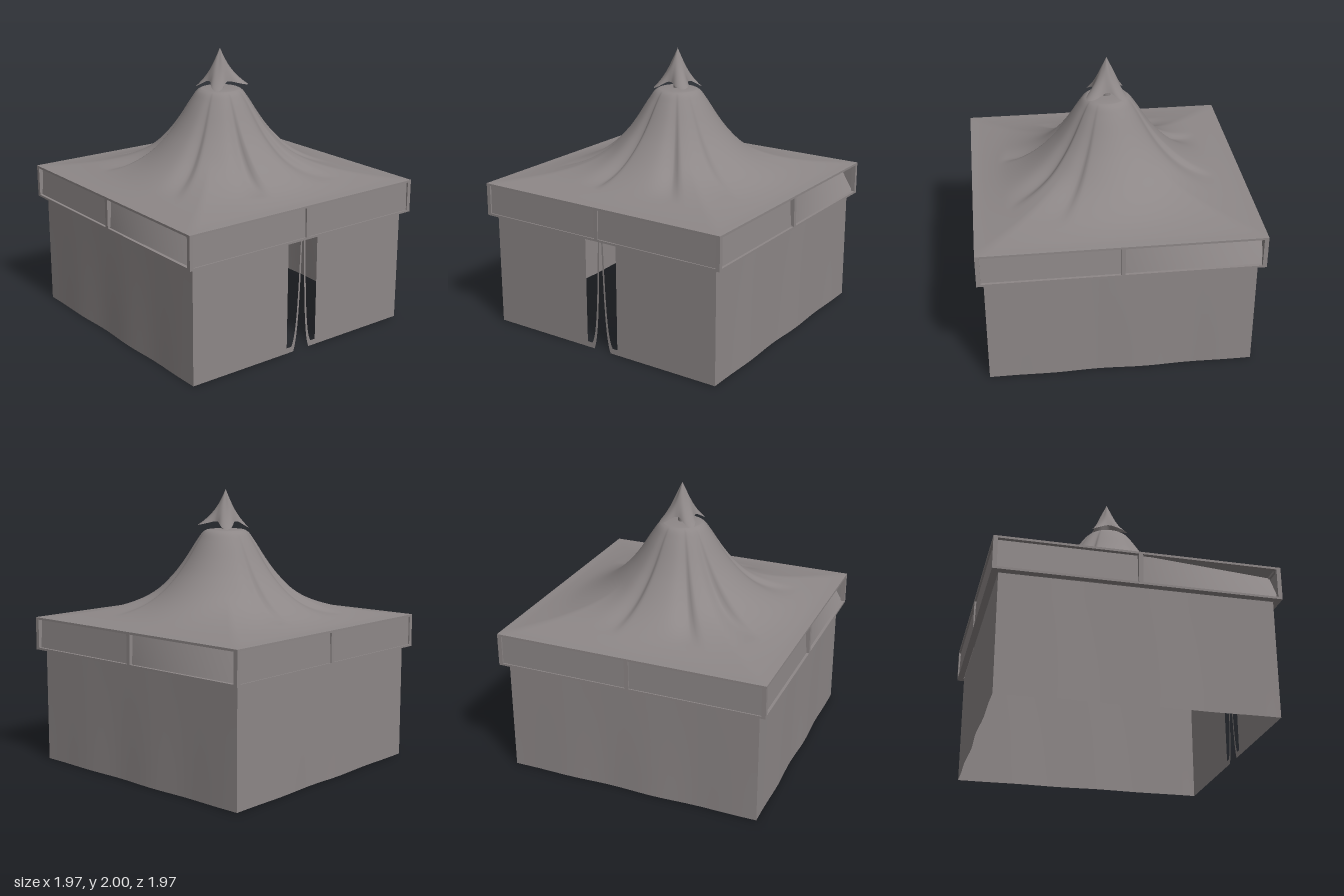
import * as THREE from 'three';

const canvas = new THREE.MeshStandardMaterial({ color: 0x8d8787, side: THREE.DoubleSide });
canvas.name = 'greyCanvas';

const WALL_TOP = 0.83, EAVE = 1.07, HALF = 0.985;

function addMesh(parent, name, geometry, x = 0, y = 0, z = 0) {
  const mesh = new THREE.Mesh(geometry, canvas);
  mesh.name = name;
  mesh.position.set(x, y, z);
  parent.add(mesh);
  return mesh;
}

// Closed rings running from the centre outwards; point(u, angle) gives [x, y, z]
function loft(rings, sides, point) {
  const positions = [], index = [];
  for (let i = 0; i <= rings; i++) {
    for (let j = 0; j < sides; j++) {
      positions.push(...point(i / rings, (j / sides) * Math.PI * 2));
      if (i === rings) continue;
      const a = i * sides + j, b = i * sides + ((j + 1) % sides);
      index.push(a, b, a + sides, b, b + sides, a + sides);
    }
  }
  const g = new THREE.BufferGeometry();
  g.setAttribute('position', new THREE.Float32BufferAttribute(positions, 3));
  g.setIndex(index);
  g.computeVertexNormals();
  return g;
}

// Moves the vertices of a plane in z by a rule of x and y
function bend(geometry, rule) {
  const p = geometry.attributes.position;
  for (let i = 0; i < p.count; i++) p.setZ(i, rule(p.getX(i), p.getY(i)));
  geometry.computeVertexNormals();
  return geometry;
}

// Swept roof: round at the peak, square at the eaves, with radial folds
function roofGeometry() {
  const profile = new THREE.CatmullRomCurve3([
    [0.13, 1.71], [0.165, 1.69], [0.21, 1.63], [0.3, 1.49], [0.38, 1.385], [0.5, 1.265],
    [0.62, 1.18], [0.76, 1.115], [0.9, 1.08], [HALF, EAVE],
  ].map(([r, y]) => new THREE.Vector3(r, y, 0)));
  // direction of each fold (x, z) and its depth
  const folds = [[-0.78, -0.25, 0.03], [-0.67, 0.35, 0.04], [-0.35, 0.55, 0.05], [0.4, 0.68, 0.03],
    [0.7, 0.19, 0.05], [0.58, -0.35, 0.04], [0.35, -0.6, 0.025]];
  return loft(48, 192, (u, angle) => {
    const c = Math.cos(angle), s = Math.sin(angle);
    if (u < 0.03) {
      const r = 0.13 * u / 0.03;
      return [c * r, 1.712, s * r];
    }
    const p = profile.getPoint((u * 48 - 1) / 47 > 0 ? (u * 48 - 1) / 47 : 0);
    const square = THREE.MathUtils.smoothstep(p.x, 0.45, HALF);
    const r = p.x * THREE.MathUtils.lerp(1, 1 / Math.max(Math.abs(c), Math.abs(s)), square);
    const reach = Math.sin(Math.PI * THREE.MathUtils.clamp((p.x - 0.15) / 0.62, 0, 1));
    let drop = 0;
    for (const [fx, fz, depth] of folds) {
      let d = angle - Math.atan2(fz, fx);
      d = Math.atan2(Math.sin(d), Math.cos(d));
      drop += depth * Math.exp(-((d / (d > 0 ? 0.16 : 0.05)) ** 2));
    }
    return [c * r, p.y - drop * reach, s * r];
  });
}

// Draped cap with four hanging corners
function capGeometry() {
  return loft(14, 64, (u, angle) => {
    const corner = (0.5 - 0.5 * Math.cos(4 * angle)) ** 1.5;
    const flick = Math.cos(angle + Math.PI / 4) > 0.72 ? corner : 0;
    const edge = 0.1 + 0.075 * corner + 0.03 * flick;
    const low = 1.77 - 0.055 * corner + 0.025 * flick;
    const r = THREE.MathUtils.lerp(0.115 * u, edge * u, u * u);
    return [Math.cos(angle) * r, 2 - (2 - low) * u ** 0.97, Math.sin(angle) * r];
  });
}

// One side of the eaves: a frame holding two inset cloth panels
function valanceSide(name, turn, inset, sagging) {
  const side = new THREE.Group();
  side.name = name;
  side.rotation.y = turn;
  const mid = (WALL_TOP + EAVE) / 2, high = EAVE - WALL_TOP;
  addMesh(side, 'bottomRail', new THREE.BoxGeometry(2 * HALF, 0.016, 0.045), 0, WALL_TOP + 0.008, HALF - 0.0225);
  addMesh(side, 'topRail', new THREE.BoxGeometry(2 * HALF, 0.016, 0.03), 0, EAVE - 0.008, HALF - 0.015);
  addMesh(side, 'cornerPost', new THREE.BoxGeometry(0.03, high, 0.03), HALF - 0.015, mid, HALF - 0.015);
  addMesh(side, 'middlePost', new THREE.BoxGeometry(0.03, high, 0.03), 0, mid, HALF - 0.015);
  for (const s of [-1, 1]) {
    const sag = sagging && s > 0 ? 0.12 : 0;
    const panel = bend(new THREE.PlaneGeometry(0.96, high - 0.01, 16, 8), (x, y) => {
      const across = x / 0.96 + 0.5, up = y / (high - 0.01) + 0.5;
      return -inset * (0.4 + 0.6 * up) - sag * up * across;
    });
    addMesh(side, 'clothPanel', panel, s * 0.485, mid, HALF - 0.004);
  }
  return side;
}

// Plain wall, rippling slightly towards the ground
function wallGeometry(width) {
  return bend(new THREE.PlaneGeometry(width, WALL_TOP, 40, 6), (x, y) =>
    0.006 * Math.sin(x * 9) * Math.cos((x / width) * Math.PI) * (0.5 - y / WALL_TOP));
}

// Wall with a parted entrance: a central slit and an open bay on either side of the curtain edges
function entranceGeometry(width) {
  const h = width / 2;
  const shape = new THREE.Shape();
  shape.moveTo(-h, 0);
  shape.lineTo(-0.07, 0);
  shape.bezierCurveTo(-0.03, 0.1, -0.02, 0.4, -0.008, 0.82);
  shape.lineTo(0.008, 0.82);
  shape.bezierCurveTo(0.02, 0.4, 0.03, 0.1, 0.07, 0);
  shape.lineTo(h, 0);
  shape.lineTo(h, WALL_TOP);
  shape.lineTo(-h, WALL_TOP);
  for (const s of [-1, 1]) {
    const bay = new THREE.Path();
    bay.moveTo(s * 0.13, 0.04);
    bay.lineTo(s * 0.13, 0.82);
    bay.lineTo(s * 0.02, 0.82);
    bay.bezierCurveTo(s * 0.035, 0.4, s * 0.045, 0.1, s * 0.09, 0.04);
    bay.closePath();
    shape.holes.push(bay);
  }
  return new THREE.ShapeGeometry(shape, 16);
}

export function createModel() {
  const tent = new THREE.Group();
  tent.name = 'tent';

  // Walls
  const wx = 0.937, wz = 0.93;
  addMesh(tent, 'frontWall', wallGeometry(2 * wx), 0, WALL_TOP / 2, wz);
  addMesh(tent, 'backWall', wallGeometry(2 * wx), 0, WALL_TOP / 2, -wz).rotation.y = Math.PI;
  addMesh(tent, 'rightWall', wallGeometry(2 * wz), -wx, WALL_TOP / 2, 0).rotation.y = -Math.PI / 2;
  addMesh(tent, 'entranceWall', entranceGeometry(2 * wz), wx, 0, 0).rotation.y = Math.PI / 2;

  // Eaves
  tent.add(valanceSide('frontValance', 0, 0.035, true));
  tent.add(valanceSide('leftValance', Math.PI / 2, 0.01, false));
  tent.add(valanceSide('backValance', Math.PI, 0.035, true));
  tent.add(valanceSide('rightValance', -Math.PI / 2, 0.01, false));

  // Roof, pole stub and cap
  addMesh(tent, 'roof', roofGeometry());
  addMesh(tent, 'pole', new THREE.CylinderGeometry(0.03, 0.03, 0.08, 20), 0, 1.725, 0);
  addMesh(tent, 'cap', capGeometry());
  return tent;
}
